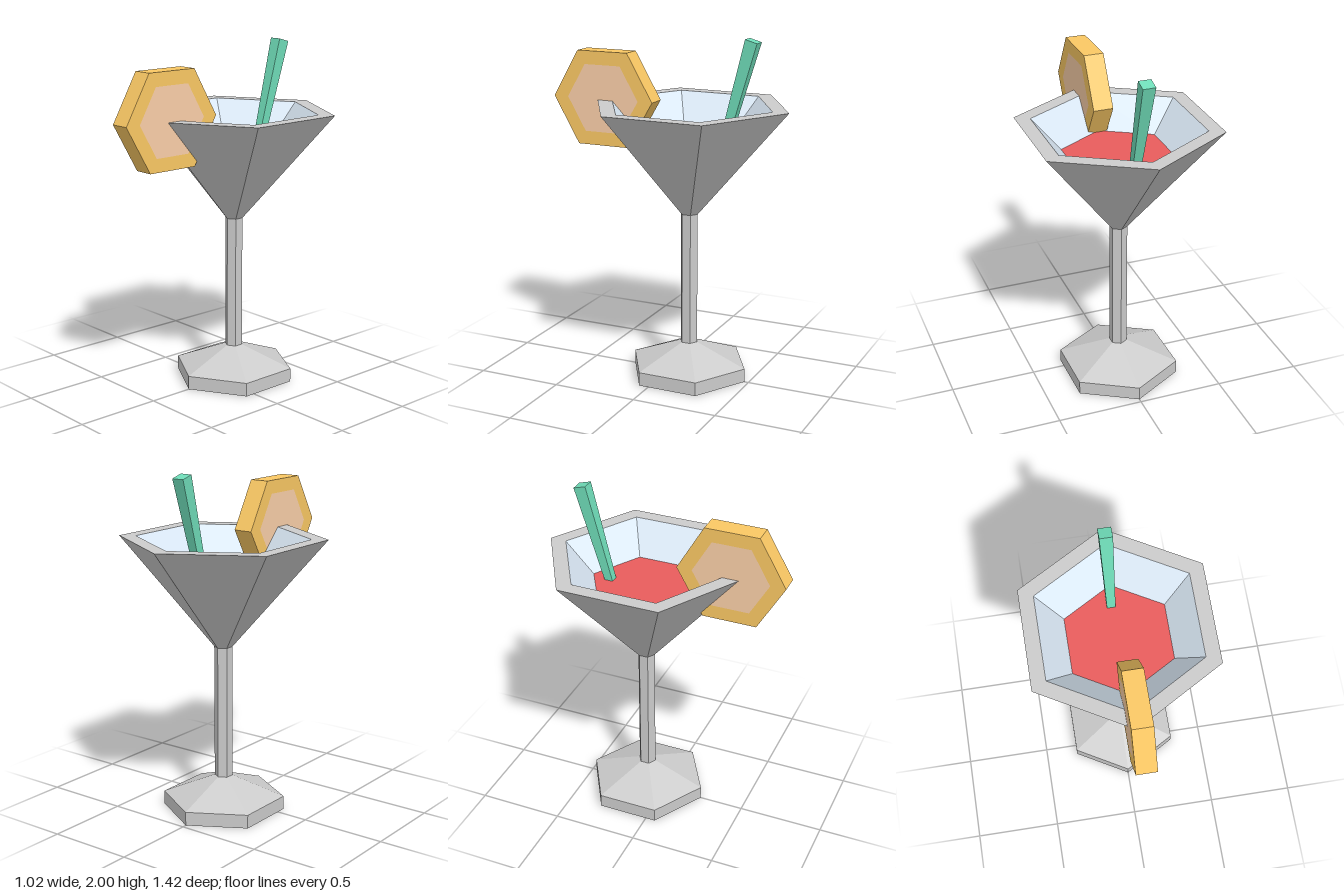
import * as THREE from 'three';

const AXIS_Z = -0.12; // the glass stands slightly behind the centre
const RIM_Y = 1.61;
const LIQUID_Y = 1.435;

function add(group, name, geometry, color = 0xcccccc) {
  const material = new THREE.MeshStandardMaterial({ color, flatShading: true });
  const mesh = new THREE.Mesh(geometry, material);
  mesh.name = name;
  group.add(mesh);
  return mesh;
}

// Six-sided turned surface from [radius, height] pairs
function hexLathe(profile) {
  return new THREE.LatheGeometry(profile.map(([r, y]) => new THREE.Vector2(r, y)), 6);
}

function hexPoints(radius) {
  return Array.from({ length: 6 }, (_, i) => {
    const a = (i * Math.PI) / 3;
    return new THREE.Vector2(radius * Math.cos(a), radius * Math.sin(a));
  });
}

export function createModel() {
  const model = new THREE.Group();
  model.name = 'cocktail';

  // Glass: foot, stem, bowl and flat rim, with a tinted inner wall
  const glass = new THREE.Group();
  glass.name = 'glass';
  glass.position.z = AXIS_Z;
  model.add(glass);
  add(glass, 'foot', hexLathe([[0, 0], [0.355, 0], [0.355, 0.08], [0.052, 0.2]]));
  add(glass, 'stem', hexLathe([[0.052, 0.2], [0.052, 0.98]]));
  add(glass, 'bowl', hexLathe([[0.052, 0.98], [0.59, RIM_Y], [0.495, RIM_Y]]));
  add(glass, 'innerWall', hexLathe([[0.495, RIM_Y], [0.325, LIQUID_Y]]), 0xdbe9f6);

  // Drink surface
  const liquid = new THREE.CircleGeometry(0.325, 6, Math.PI / 2).rotateX(-Math.PI / 2);
  add(glass, 'drink', liquid, 0xe95c5c).position.y = LIQUID_Y;

  // Fruit slice straddling the front corner of the rim
  const slice = new THREE.Group();
  slice.name = 'fruitSlice';
  slice.position.set(0.013, 1.617, 0.398);
  model.add(slice);
  const thickness = 0.116;
  const ring = new THREE.Shape(hexPoints(0.315));
  ring.holes.push(new THREE.Path(hexPoints(0.225).reverse()));
  const rind = new THREE.ExtrudeGeometry(ring, { depth: thickness, bevelEnabled: false });
  rind.translate(0, 0, -thickness / 2).rotateY(Math.PI / 2);
  add(slice, 'rind', rind, 0xfac864);
  const pulp = new THREE.CylinderGeometry(0.225, 0.225, thickness, 6).rotateZ(Math.PI / 2);
  add(slice, 'pulp', pulp, 0xfacfa8);

  // Square straw, wider at the top and leaning back
  const bottom = new THREE.Vector3(-0.0125, 1.3, -0.297);
  const top = new THREE.Vector3(-0.0125, 1.99, -0.49);
  const straw = new THREE.CylinderGeometry(
    0.073 * Math.SQRT1_2, 0.042 * Math.SQRT1_2, top.distanceTo(bottom), 4
  ).rotateY(Math.PI / 4);
  const strawMesh = add(model, 'straw', straw, 0x6fdcb8);
  strawMesh.position.addVectors(top, bottom).multiplyScalar(0.5);
  strawMesh.rotation.x = Math.atan2(top.z - bottom.z, top.y - bottom.y);

  return model;
}
